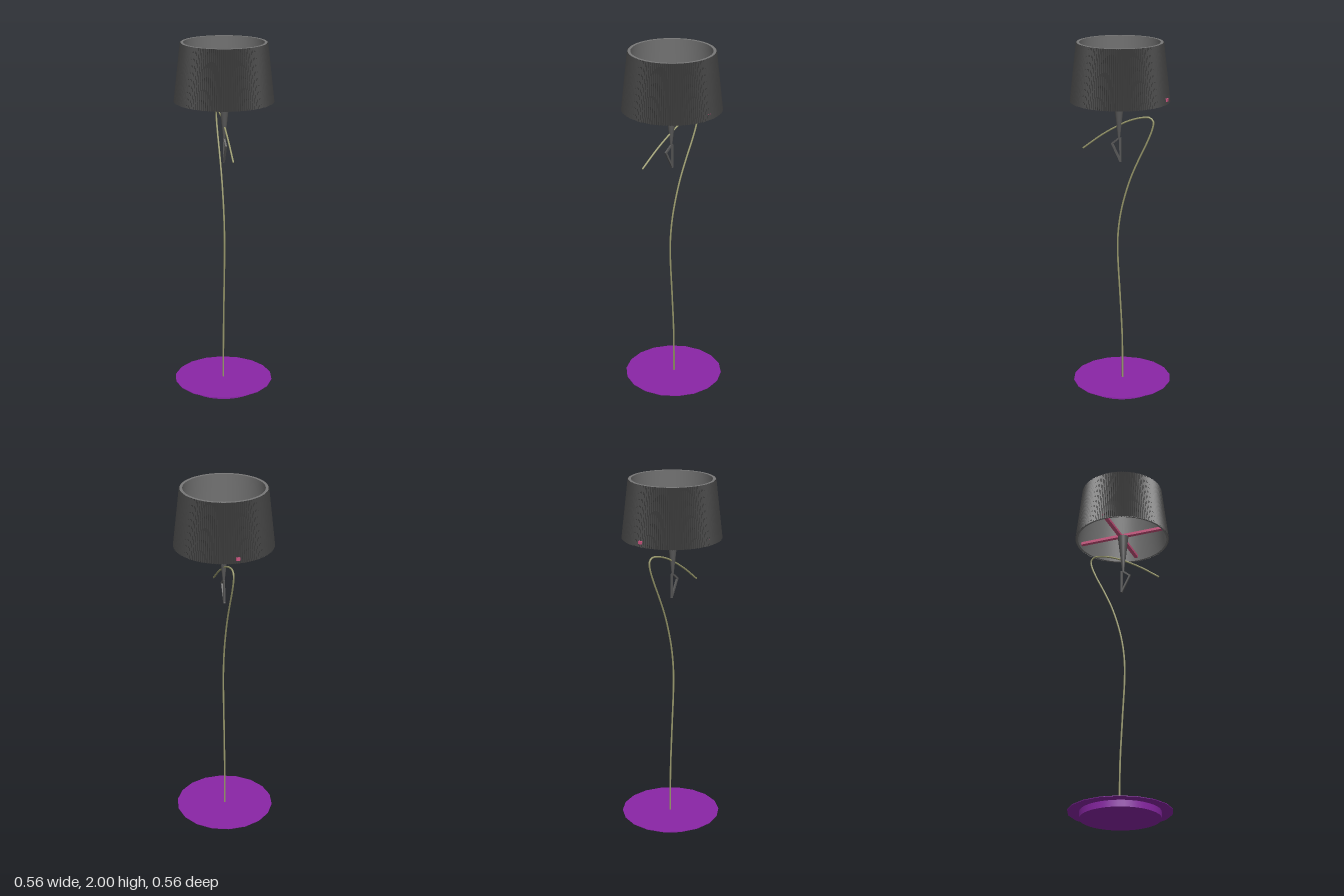
import * as THREE from 'three';

const mat = (color, extra = {}) => new THREE.MeshStandardMaterial({ color, ...extra });

const purple = mat(0x8a26a6);
const olive = mat(0x98986c);
const pink = mat(0xcc5580);
const charcoal = mat(0x3c3c3c, { flatShading: true, side: THREE.DoubleSide });
const grey = mat(0x787878, { side: THREE.DoubleSide });
const darkGrey = mat(0x585858);

function part(name, geometry, material, x = 0, y = 0, z = 0) {
  const mesh = new THREE.Mesh(geometry, material);
  mesh.name = name;
  mesh.position.set(x, y, z);
  return mesh;
}

// Square bar between two points of the x = 0 plane, given as [z, y]
function strut(name, a, b, width, material) {
  const from = new THREE.Vector3(0, a[1], a[0]);
  const to = new THREE.Vector3(0, b[1], b[0]);
  const dir = to.clone().sub(from);
  const mesh = part(name, new THREE.BoxGeometry(width, dir.length() + width * 0.6, width), material);
  mesh.position.copy(from).add(to).multiplyScalar(0.5);
  mesh.quaternion.setFromUnitVectors(new THREE.Vector3(0, 1, 0), dir.normalize());
  return mesh;
}

// Open conical wall whose alternate vertical edges are pushed inwards
function pleatedWall(topRadius, bottomRadius, height, pleats, depth) {
  const n = pleats * 2;
  const g = new THREE.CylinderGeometry(topRadius, bottomRadius, height, n, 1, true);
  const p = g.attributes.position;
  for (let i = 0; i < p.count; i++) {
    if ((i % (n + 1)) % 2 === 0) continue;
    const r = Math.hypot(p.getX(i), p.getZ(i));
    const k = (r - depth) / r;
    p.setXYZ(i, p.getX(i) * k, p.getY(i), p.getZ(i) * k);
  }
  g.computeVertexNormals();
  return g;
}

export function createModel() {
  const lamp = new THREE.Group();
  lamp.name = 'floorLamp';

  // Foot: round plinth under a thin 18-sided plate
  const plate = new THREE.CylinderGeometry(0.281, 0.281, 0.003, 18).rotateY(Math.PI / 18);
  lamp.add(
    part('basePlinth', new THREE.CylinderGeometry(0.218, 0.218, 0.036, 40), purple, 0, 0.018, -0.005),
    part('basePlate', plate, purple, 0, 0.037, -0.006)
  );

  // Curved stem, bending back and then drooping forward, as [z, y]
  const path = [
    [-0.01, 0.03], [-0.007, 0.3], [0.006, 0.55], [0.02, 0.8], [0.018, 0.92], [-0.002, 1.06],
    [-0.052, 1.235], [-0.105, 1.36], [-0.155, 1.465], [-0.184, 1.54], [-0.189, 1.58],
    [-0.17, 1.599], [-0.125, 1.597], [-0.045, 1.572], [0.035, 1.53], [0.12, 1.476], [0.227, 1.395]
  ].map(([z, y]) => new THREE.Vector3(0, y, z));
  const curve = new THREE.CatmullRomCurve3(path);
  const stem = new THREE.Group();
  stem.name = 'stem';
  stem.add(part('stemTube', new THREE.TubeGeometry(curve, 120, 0.005, 10), olive));
  for (const end of [path[0], path[path.length - 1]])
    stem.add(part('stemEnd', new THREE.SphereGeometry(0.005, 10, 6), olive, end.x, end.y, end.z));
  lamp.add(stem);

  // Shade: pleated outside with a smooth lining and rims
  const shade = new THREE.Group();
  shade.name = 'shade';
  shade.position.z = 0.006;
  shade.add(part('pleats', pleatedWall(0.236, 0.273, 0.32, 140, 0.005), charcoal, 0, 1.84, 0));
  const lining = [[0.268, 1.68], [0.258, 1.68], [0.258, 1.68], [0.218, 2], [0.218, 2], [0.233, 2]]
    .map(([r, y]) => new THREE.Vector2(r, y));
  shade.add(part('lining', new THREE.LatheGeometry(lining, 72), grey));
  lamp.add(shade);

  // Cross bars holding the shade
  lamp.add(
    part('crossBarSide', new THREE.BoxGeometry(0.53, 0.016, 0.022), pink, 0, 1.705, -0.001),
    part('crossBarFront', new THREE.BoxGeometry(0.022, 0.016, 0.54), pink, -0.002, 1.705, 0)
  );

  // Tapered lamp holder below the cross bars
  lamp.add(part('holderCone', new THREE.CylinderGeometry(0.031, 0.005, 0.235, 24), darkGrey, 0, 1.58, 0.012));

  // Bent clip hanging from the holder
  const clip = new THREE.Group();
  clip.name = 'clip';
  const bends = [[0.004, 1.47], [0.003, 1.34], [0.053, 1.436], [0.015, 1.468]];
  for (let i = 0; i < bends.length - 1; i++)
    clip.add(strut('clipBar', bends[i], bends[i + 1], 0.01, darkGrey));
  lamp.add(clip);

  return lamp;
}
